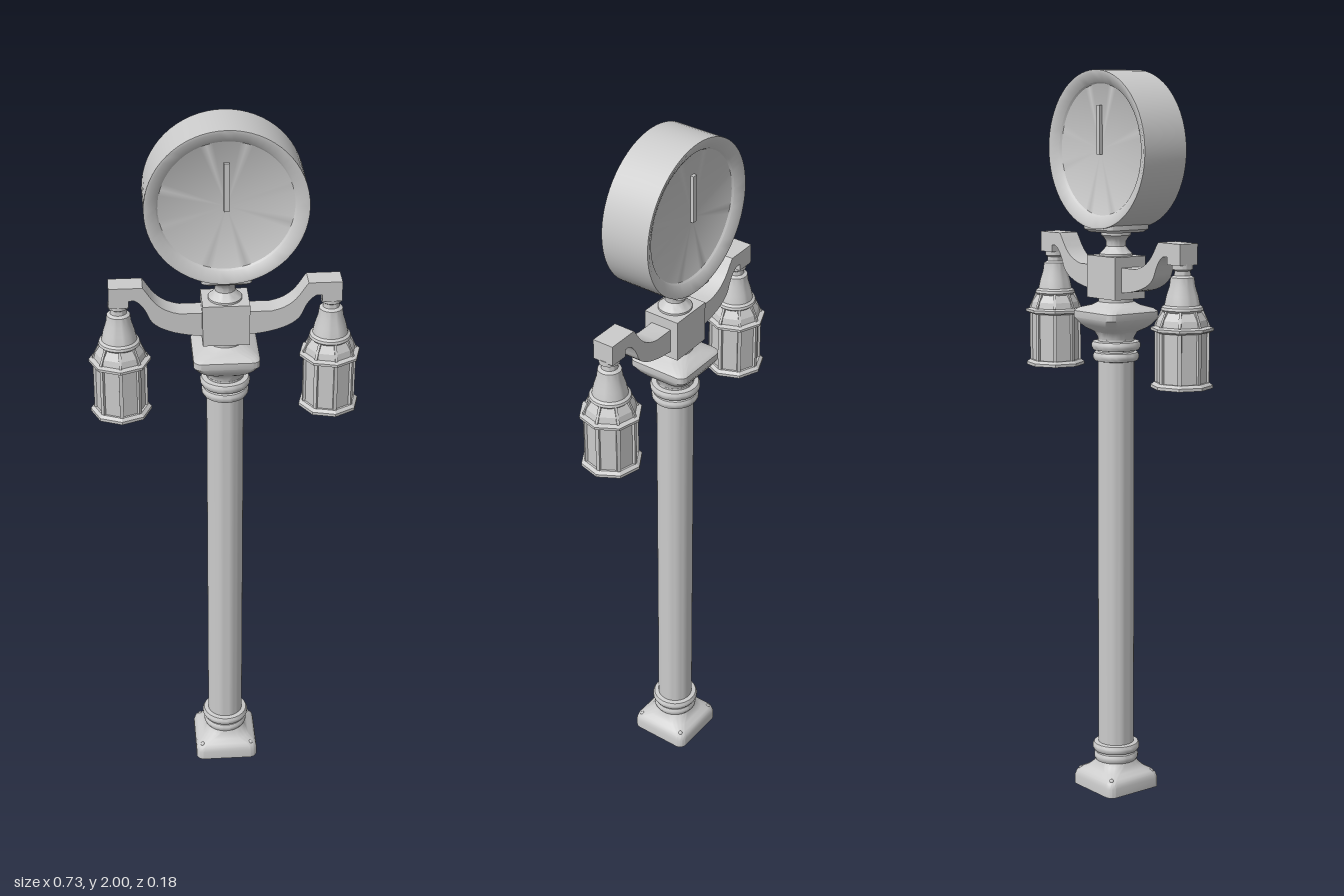
import * as THREE from 'three';
import { toCreasedNormals } from 'three/addons/utils/BufferGeometryUtils.js';

const smooth = new THREE.MeshStandardMaterial({ color: 0xcccccc });
const faceted = new THREE.MeshStandardMaterial({ color: 0xcccccc, flatShading: true });

function add(parent, name, geometry, material = smooth) {
  const mesh = new THREE.Mesh(geometry, material);
  mesh.name = name;
  parent.add(mesh);
  return mesh;
}

// Solid of revolution from [radius, height] pairs, listed bottom to top.
function turned(profile, sides = 40) {
  const geo = new THREE.LatheGeometry(profile.map(p => new THREE.Vector2(...p)), sides);
  return sides < 12 ? geo : toCreasedNormals(geo, 0.6);
}

// Stack of rounded squares [half width, height, roundness]; roundness 1 is a circle.
function loft(rows, n = 40) {
  const pos = [], index = [];
  rows.forEach(([r, y, k], i) => {
    for (let j = 0; j < n; j++) {
      const a = ((j + 0.5) / n) * Math.PI * 2;
      const c = Math.cos(a), s = Math.sin(a);
      pos.push(r * (Math.sign(c) * (1 - k) + k * c), y, r * (Math.sign(s) * (1 - k) + k * s));
      if (i === rows.length - 1) continue;
      const p = i * n + j, q = i * n + ((j + 1) % n);
      index.push(p, p + n, q, q, p + n, q + n);
    }
  });
  const geo = new THREE.BufferGeometry();
  geo.setAttribute('position', new THREE.Float32BufferAttribute(pos, 3));
  geo.setIndex(index);
  return toCreasedNormals(geo, 0.6);
}

// Curved bracket arm reaching towards +x.
function armGeometry() {
  const s = new THREE.Shape();
  s.moveTo(0.05, 1.41);
  s.bezierCurveTo(0.13, 1.415, 0.185, 1.435, 0.2, 1.467);
  s.quadraticCurveTo(0.215, 1.51, 0.238, 1.52);
  s.lineTo(0.253, 1.52);
  s.lineTo(0.253, 1.5);
  s.lineTo(0.305, 1.5);
  s.lineTo(0.305, 1.556);
  s.lineTo(0.216, 1.556);
  s.bezierCurveTo(0.195, 1.53, 0.185, 1.49, 0.12, 1.478);
  s.lineTo(0.05, 1.478);
  const geo = new THREE.ExtrudeGeometry(s, { depth: 0.06, bevelEnabled: false, curveSegments: 10 });
  geo.translate(0, 0, -0.03);
  return toCreasedNormals(geo, 0.6);
}

function createLantern() {
  const g = new THREE.Group();
  add(g, 'lanternCap', turned([
    [0, 1.378], [0.05, 1.378], [0.056, 1.384], [0.054, 1.391], [0.047, 1.396], [0.042, 1.42],
    [0.034, 1.445], [0.031, 1.468], [0.022, 1.473], [0.021, 1.485], [0.027, 1.489], [0.027, 1.503], [0, 1.503],
  ], 32));
  add(g, 'lanternRoof', turned([
    [0, 1.325], [0.073, 1.325], [0.083, 1.33], [0.083, 1.337], [0.07, 1.341], [0.066, 1.358], [0.05, 1.382], [0, 1.382],
  ], 8), faceted);
  add(g, 'lanternPanes', turned([[0, 1.185], [0.067, 1.185], [0.067, 1.328], [0, 1.328]], 8), faceted);
  add(g, 'lanternBase', turned([
    [0, 1.178], [0.082, 1.178], [0.082, 1.186], [0.073, 1.193], [0, 1.193],
  ], 8), faceted);

  // Corner posts with small roof ribs above them
  for (let i = 0; i < 8; i++) {
    const corner = new THREE.Group();
    corner.name = 'lanternCorner';
    corner.rotation.y = (i * Math.PI) / 4;
    add(corner, 'lanternPost', new THREE.BoxGeometry(0.01, 0.136, 0.01)).position.set(0.067, 1.258, 0);
    const rib = add(corner, 'roofRib', new THREE.BoxGeometry(0.006, 0.045, 0.007));
    rib.position.set(0.062, 1.361, 0);
    rib.rotation.z = 0.42;
    g.add(corner);
  }
  return g;
}

export function createModel() {
  const model = new THREE.Group();
  model.name = 'clockLampPost';

  // Square foot flowing into the round column
  add(model, 'foot', loft([
    [0, 0, 0.25], [0.09, 0, 0.25], [0.09, 0.025, 0.25], [0.087, 0.038, 0.28], [0.08, 0.047, 0.35],
    [0.067, 0.055, 0.55], [0.058, 0.068, 0.8], [0.054, 0.085, 1], [0, 0.085, 1],
  ]));
  for (const x of [-1, 1]) for (const z of [-1, 1]) {
    add(model, 'footBolt', new THREE.SphereGeometry(0.007, 10, 6)).position.set(x * 0.071, 0.043, z * 0.071);
  }
  const ring = (y, r) => [[0.05, y - 0.013], [r - 0.004, y - 0.011], [r, y - 0.004], [r, y + 0.004], [r - 0.004, y + 0.011], [0.05, y + 0.013]];
  add(model, 'column', turned([
    [0.05, 0.07], ...ring(0.09, 0.062), ...ring(0.118, 0.066), [0.05, 0.14],
    [0.05, 1.21], ...ring(1.232, 0.063), ...ring(1.262, 0.067), [0.05, 1.28], [0, 1.28],
  ], 40));

  // Capital widening from round to square
  add(model, 'capital', loft([
    [0.048, 1.265, 1], [0.05, 1.285, 1], [0.056, 1.3, 0.85], [0.07, 1.311, 0.5], [0.077, 1.32, 0.35],
    [0.088, 1.338, 0.25], [0.088, 1.356, 0.25], [0.08, 1.364, 0.3], [0.06, 1.372, 0.7],
    [0.048, 1.382, 1], [0.048, 1.395, 1], [0, 1.395, 1],
  ]));

  // Hub block and the neck below the clock
  add(model, 'hub', new THREE.BoxGeometry(0.124, 0.115, 0.104)).position.y = 1.449;
  add(model, 'neck', turned([
    [0.045, 1.5], [0.045, 1.512], [0.036, 1.52], [0.027, 1.532], [0.027, 1.545], [0.034, 1.556],
    [0.041, 1.562], [0.041, 1.572], [0.03, 1.58],
  ], 32));
  add(model, 'clockSeat', loft([
    [0, 1.57, 0.2], [0.055, 1.57, 0.2], [0.066, 1.578, 0.2], [0.066, 1.592, 0.2], [0, 1.592, 0.2],
  ]));

  // Double-sided clock
  const clock = new THREE.Group();
  clock.name = 'clock';
  clock.position.y = 1.79;
  add(clock, 'clockCase', turned([
    [0, -0.052], [0.174, -0.052], [0.178, -0.057], [0.203, -0.07], [0.21, -0.07],
    [0.21, 0.07], [0.203, 0.07], [0.178, 0.057], [0.174, 0.052], [0, 0.052],
  ], 64)).rotation.x = Math.PI / 2;
  for (const side of [-1, 1]) {
    add(clock, 'clockHand', new THREE.BoxGeometry(0.014, 0.13, 0.01)).position.set(0, 0.053, side * 0.056);
  }
  model.add(clock);

  // Arms and hanging lanterns on both sides
  for (const side of [-1, 1]) {
    const arm = add(model, side > 0 ? 'leftArm' : 'rightArm', armGeometry());
    if (side < 0) arm.rotation.y = Math.PI;
    const lantern = createLantern();
    lantern.name = side > 0 ? 'leftLantern' : 'rightLantern';
    lantern.position.x = side * 0.28;
    if (side > 0) lantern.rotation.y = 0.14;
    model.add(lantern);
  }
  return model;
}
